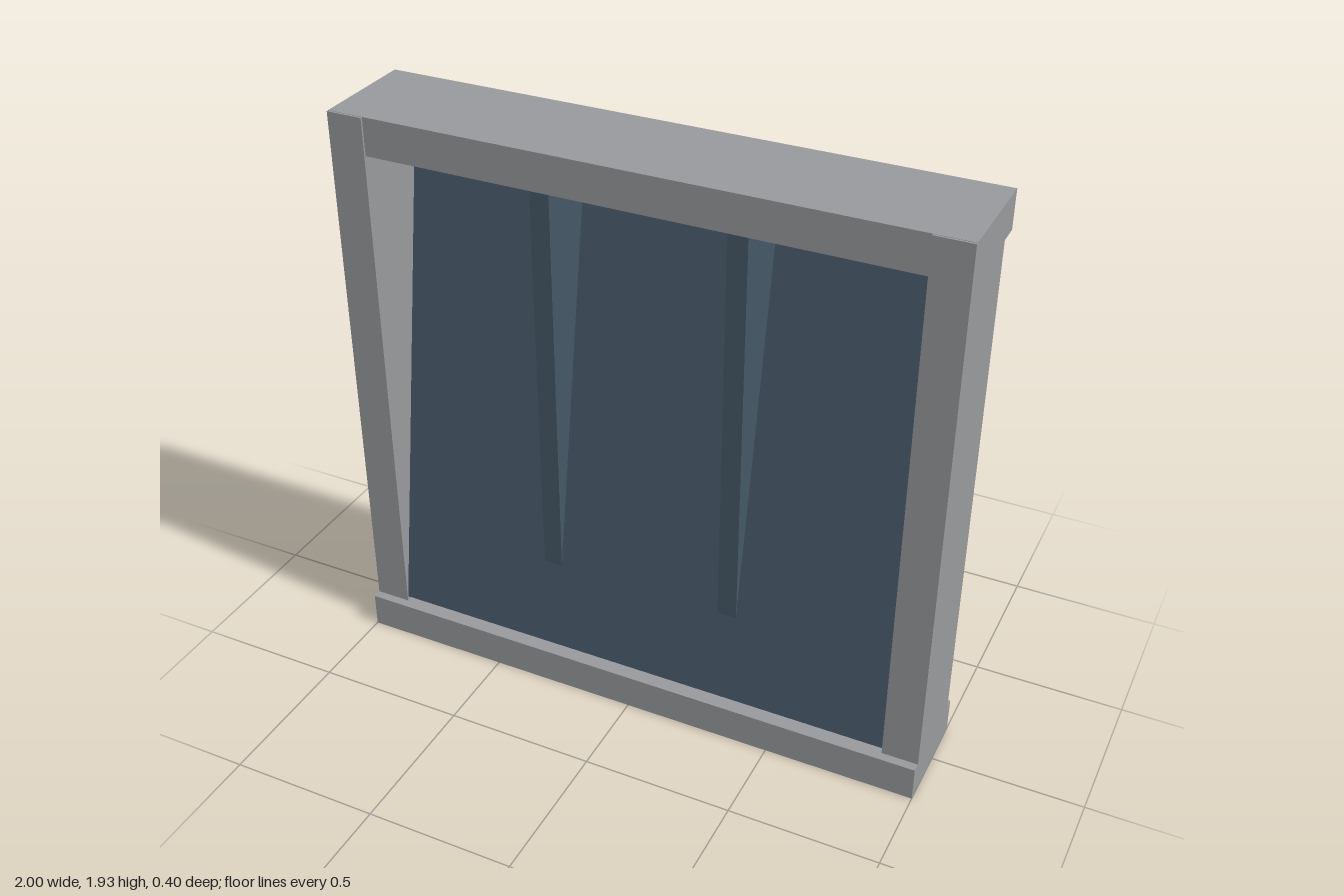
import * as THREE from 'three';

export function createModel() {
  const model = new THREE.Group();
  const stone = new THREE.MeshStandardMaterial({ color: 0x97999c });
  stone.name = 'grey frame';
  const slate = new THREE.MeshStandardMaterial({ color: 0x455766 });
  slate.name = 'dark slate blue';

  // Box given by its minimum and maximum on each axis
  function box(name, material, [x0, x1], [y0, y1], [z0, z1]) {
    const mesh = new THREE.Mesh(new THREE.BoxGeometry(x1 - x0, y1 - y0, z1 - z0), material);
    mesh.name = name;
    mesh.position.set((x0 + x1) / 2, (y0 + y1) / 2, (z0 + z1) / 2);
    model.add(mesh);
    return mesh;
  }

  // Frame: sill juts forward, lintel juts back
  box('sill', stone, [-1, 1], [0, 0.12], [-0.16, 0.2]);
  box('lintel', stone, [-1, 1], [1.81, 1.935], [-0.2, 0.163]);
  box('rightPost', stone, [-1, -0.88], [0.12, 1.934], [-0.13, 0.17]);
  box('leftPost', stone, [0.88, 1], [0.12, 1.934], [-0.13, 0.17]);

  // Panel leaning back, wider than the opening so its top overlaps the posts
  const panel = box('tiltedPanel', slate, [-0.945, 0.945], [0.121, 1.841], [-0.027, 0.027]);
  panel.rotation.x = -Math.atan(0.165);

  // Upright fins passing through the panel, showing as wedges on both sides
  for (const x of [-0.315, 0.315]) {
    box(x < 0 ? 'rightFin' : 'leftFin', slate, [x - 0.032, x + 0.032], [0.12, 1.82], [-0.098, 0.117]);
  }
  return model;
}
